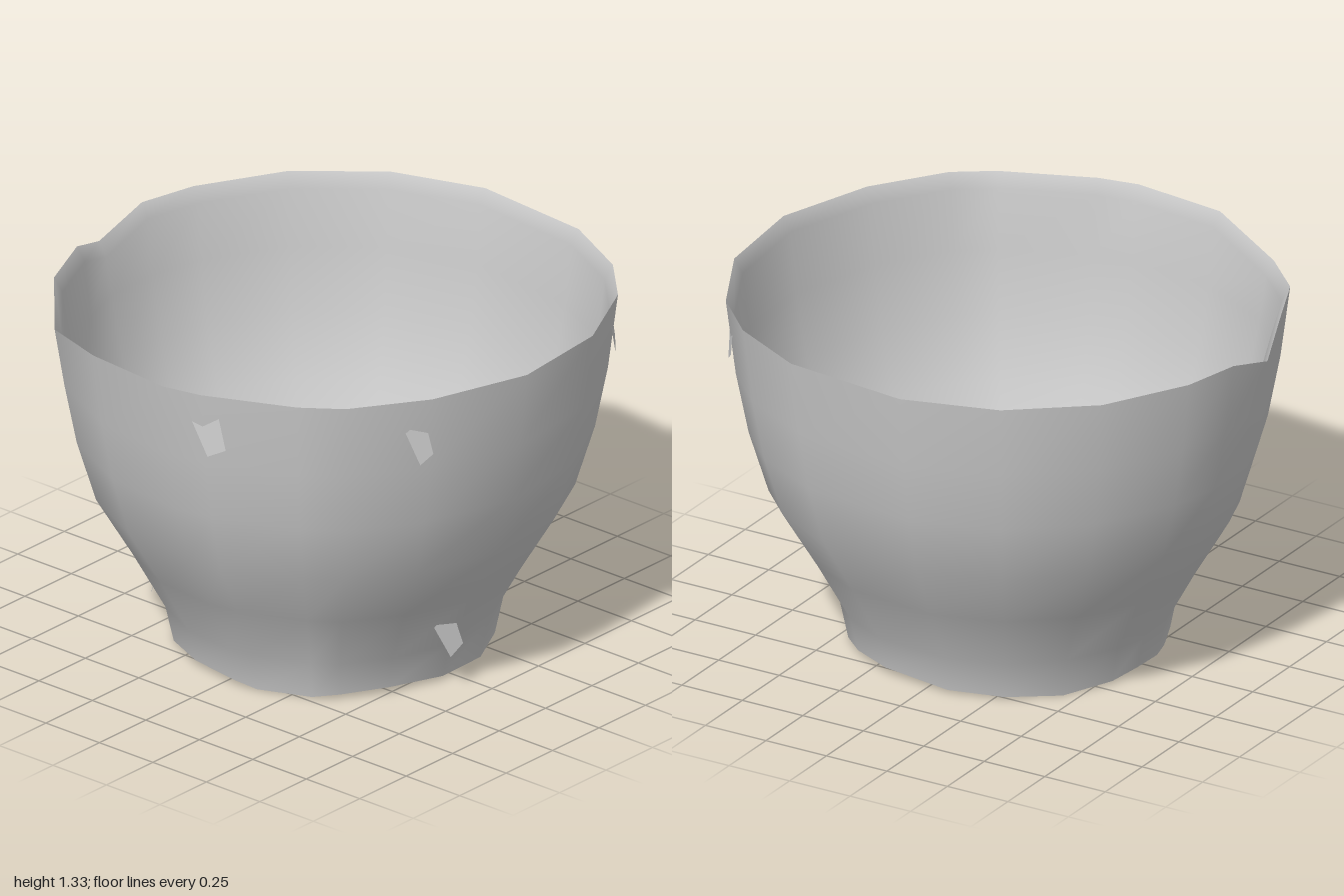
import * as THREE from 'three';

// Irregular outline of the rim, as x, z pairs; every ring is a scaled copy
const outline = [
  [-0.15, -1], [0.33, -0.95], [0.62, -0.8], [0.8, -0.62], [0.96, -0.3],
  [1, 0.1], [0.88, 0.47], [0.7, 0.73], [0.56, 0.83], [0.23, 0.97],
  [0.08, 1], [-0.28, 0.96], [-0.6, 0.8], [-0.82, 0.55], [-0.93, 0.3],
  [-1, 0.1], [-1, -0.13], [-0.95, -0.35], [-0.78, -0.66], [-0.5, -0.89],
];
const N = outline.length;

// Chipped rim corners: outline index -> drop in height
const chips = { 12: 0.05, 15: 0.07 };

// Skin a list of [scale, y] rings with smooth normals
function shell(name, rings, material) {
  const positions = [], index = [];
  rings.forEach(([s, y]) => outline.forEach(([x, z], j) => {
    let h = y;
    if (y > 1.25) h += 0.01 * x - (chips[j] || 0);           // uneven rim
    if (y < 0.06) h += 0.012 * Math.sin(j * 1.3);            // wobbly foot
    positions.push(x * s, h, z * s);
  }));
  for (let i = 0; i < rings.length - 1; i++) {
    for (let j = 0; j < N; j++) {
      const a = i * N + j, b = i * N + (j + 1) % N;
      index.push(a, a + N, b, b, a + N, b + N);
    }
  }
  const geometry = new THREE.BufferGeometry();
  geometry.setAttribute('position', new THREE.Float32BufferAttribute(positions, 3));
  geometry.setIndex(index);
  geometry.computeVertexNormals();
  const mesh = new THREE.Mesh(geometry, material);
  mesh.name = name;
  return mesh;
}

// Small flat flake standing proud of the wall, facing outwards
function flake([x, y, z], width, height, material) {
  const shape = new THREE.Shape();
  shape.moveTo(-width / 2, height * 0.2);
  shape.lineTo(0, -height / 2);
  shape.lineTo(width / 2, -height * 0.3);
  shape.lineTo(width * 0.2, height / 2);
  const mesh = new THREE.Mesh(new THREE.ShapeGeometry(shape), material);
  mesh.name = 'flake';
  mesh.position.set(x, y, z);
  mesh.lookAt(x * 2, y + 0.1, z * 2);
  return mesh;
}

export function createModel() {
  const clay = new THREE.MeshStandardMaterial({ color: 0xcacaca });
  clay.name = 'grey clay';
  const cup = new THREE.Group();
  cup.name = 'cup';

  // Hollow underside, with a small hole through the middle, and the foot's edge
  cup.add(shell('underside', [
    [0.03, 0.11], [0.25, 0.1], [0.44, 0.085], [0.53, 0.024], [0.57, 0.024],
  ], clay));
  // Short foot flaring into the bowl
  cup.add(shell('outerWall', [
    [0.57, 0.024], [0.6, 0.16], [0.72, 0.38], [0.85, 0.6],
    [0.92, 0.83], [0.965, 1.06], [1, 1.335],
  ], clay));
  // Inside of the bowl, from a sharp lip down to the floor
  cup.add(shell('innerWall', [
    [1, 1.335], [0.97, 1.28], [0.945, 1.06], [0.9, 0.83], [0.825, 0.6],
    [0.695, 0.38], [0.565, 0.18], [0.48, 0.13], [0.25, 0.13], [0.03, 0.12],
  ], clay));

  // Flakes around the wall
  [
    [[0.25, 1.19, 0.95], 0.14, 0.18],
    [[-0.79, 1.12, 0.56], 0.08, 0.16],
    [[0.845, 1.18, 0.5], 0.1, 0.18],
    [[0.785, 1.21, -0.61], 0.1, 0.18],
    [[-0.49, 0.21, 0.39], 0.08, 0.14],
    [[0.65, 0.24, 0.12], 0.12, 0.18],
  ].forEach(([at, width, height]) => cup.add(flake(at, width, height, clay)));
  return cup;
}
